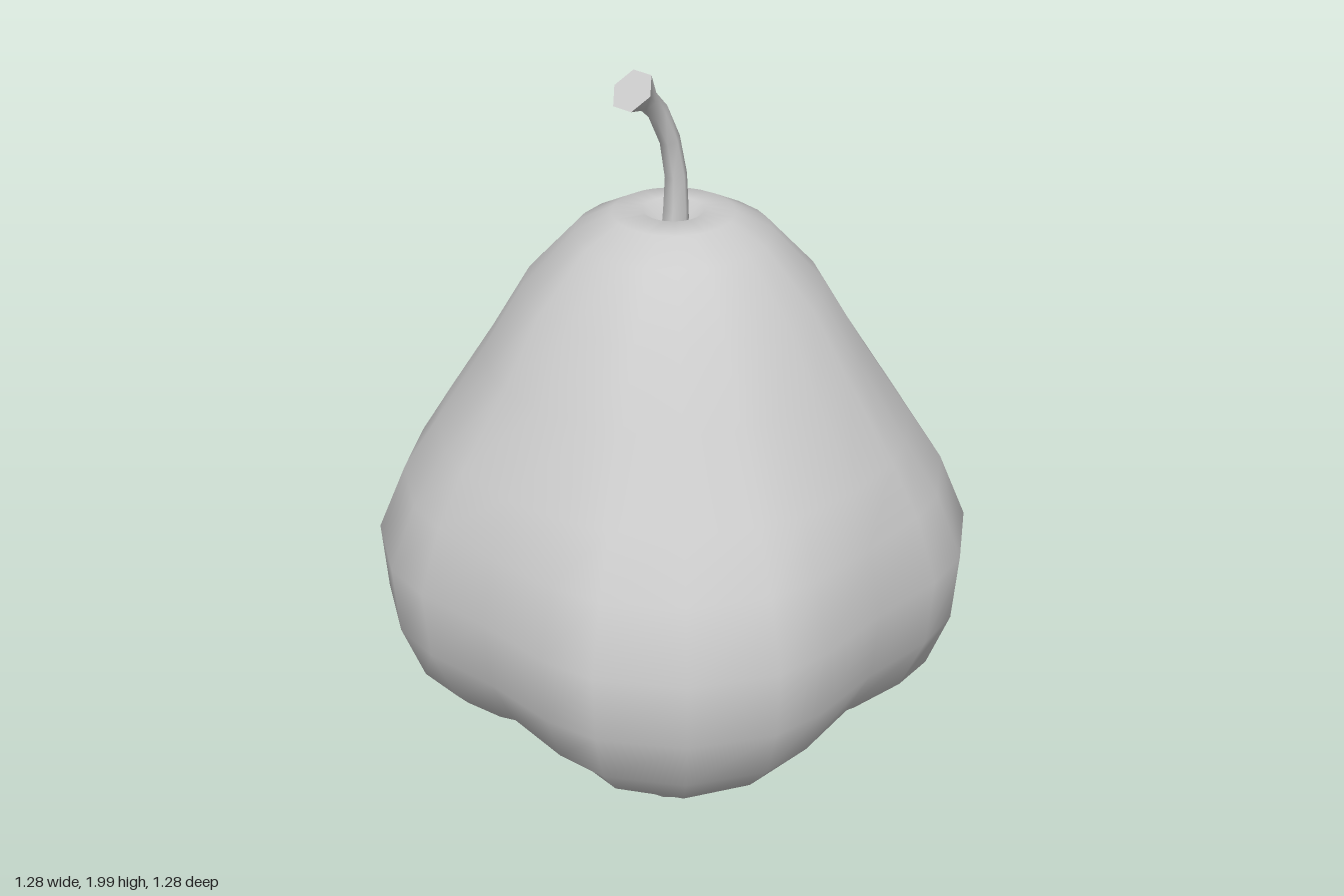
import * as THREE from 'three';
import { mergeVertices } from 'three/addons/utils/BufferGeometryUtils.js';

const material = new THREE.MeshStandardMaterial({ color: 0xcccccc, side: THREE.DoubleSide });

// Skin a stack of rings; point(ring, angle) returns [x, y, z].
function loft(name, rings, sides, point) {
  const positions = [], index = [];
  rings.forEach((ring, i) => {
    for (let j = 0; j < sides; j++) {
      positions.push(...point(ring, (j / sides) * Math.PI * 2));
      if (i === rings.length - 1) continue;
      const a = i * sides + j, b = i * sides + (j + 1) % sides;
      index.push(a, a + sides, b, b, a + sides, b + sides);
    }
  });
  let geometry = new THREE.BufferGeometry();
  geometry.setAttribute('position', new THREE.Float32BufferAttribute(positions, 3));
  geometry.setIndex(index);
  geometry = mergeVertices(geometry, 1e-5);
  geometry.computeVertexNormals();
  const mesh = new THREE.Mesh(geometry, material);
  mesh.name = name;
  return mesh;
}

export function createModel() {
  const group = new THREE.Group();
  group.name = 'fruit';

  // Four-lobed body: [groove radius, lobe radius, groove height, lobe height]
  const bodyRings = [
    [0, 0, 0.45, 0.45],
    [0.12, 0.14, 0.44, 0.42],
    [0.24, 0.40, 0.39, 0.36],
    [0.42, 0.55, 0.44, 0.42],
    [0.55, 0.645, 0.54, 0.53],
    [0.615, 0.695, 0.67, 0.67],
    [0.63, 0.707, 0.84, 0.84],
    [0.595, 0.64, 1.00, 1.00],
    [0.545, 0.555, 1.13, 1.13],
    [0.435, 0.44, 1.31, 1.31],
    [0.345, 0.345, 1.47, 1.47],
    [0.225, 0.225, 1.60, 1.60],
    [0.14, 0.14, 1.645, 1.645],
    [0.07, 0.07, 1.65, 1.65],
    [0, 0, 1.59, 1.59],
  ];
  group.add(loft('body', bodyRings, 24, ([r0, r1, y0, y1], t) => {
    const lobe = Math.abs(Math.sin(2 * t));
    const angle = t + 0.04 * Math.sin(8 * t);
    const r = r0 + (r1 - r0) * lobe;
    return [r * Math.cos(angle), y0 + (y1 - y0) * lobe, r * Math.sin(angle)];
  }));

  // Pointed nut hanging below: [radius, height]
  const nutRings = [
    [0, 0.005], [0.08, 0.06], [0.145, 0.135], [0.18, 0.23],
    [0.175, 0.30], [0.148, 0.37], [0.09, 0.42], [0, 0.44],
  ];
  group.add(loft('nut', nutRings, 12, ([r, y], t) =>
    [r * Math.cos(t) - 0.01, y, r * Math.sin(t)]));

  // Bent six-sided stem with a flared end: [x, y, radius, lean]
  const stemRings = [
    [0.005, 1.58, 0.034, 0],
    [0.008, 1.65, 0.03, 0],
    [0.008, 1.73, 0.026, 0.12],
    [-0.012, 1.82, 0.024, 0.35],
    [-0.05, 1.895, 0.024, 0.6],
    [-0.085, 1.93, 0.026, 0.75],
    [-0.13, 1.963, 0.053, 0.8],
  ];
  const stemPoint = ([x, y, r, lean], t) => {
    const u = r * Math.cos(t + Math.PI / 6);
    return [x + u * Math.cos(lean), y + u * Math.sin(lean), r * Math.sin(t + Math.PI / 6)];
  };
  group.add(loft('stem', stemRings, 6, stemPoint));

  // Flat cut face closing the stem
  const end = stemRings[stemRings.length - 1];
  group.add(loft('stemEnd', [end, [end[0], end[1], 0, end[3]]], 6, stemPoint));

  return group;
}
